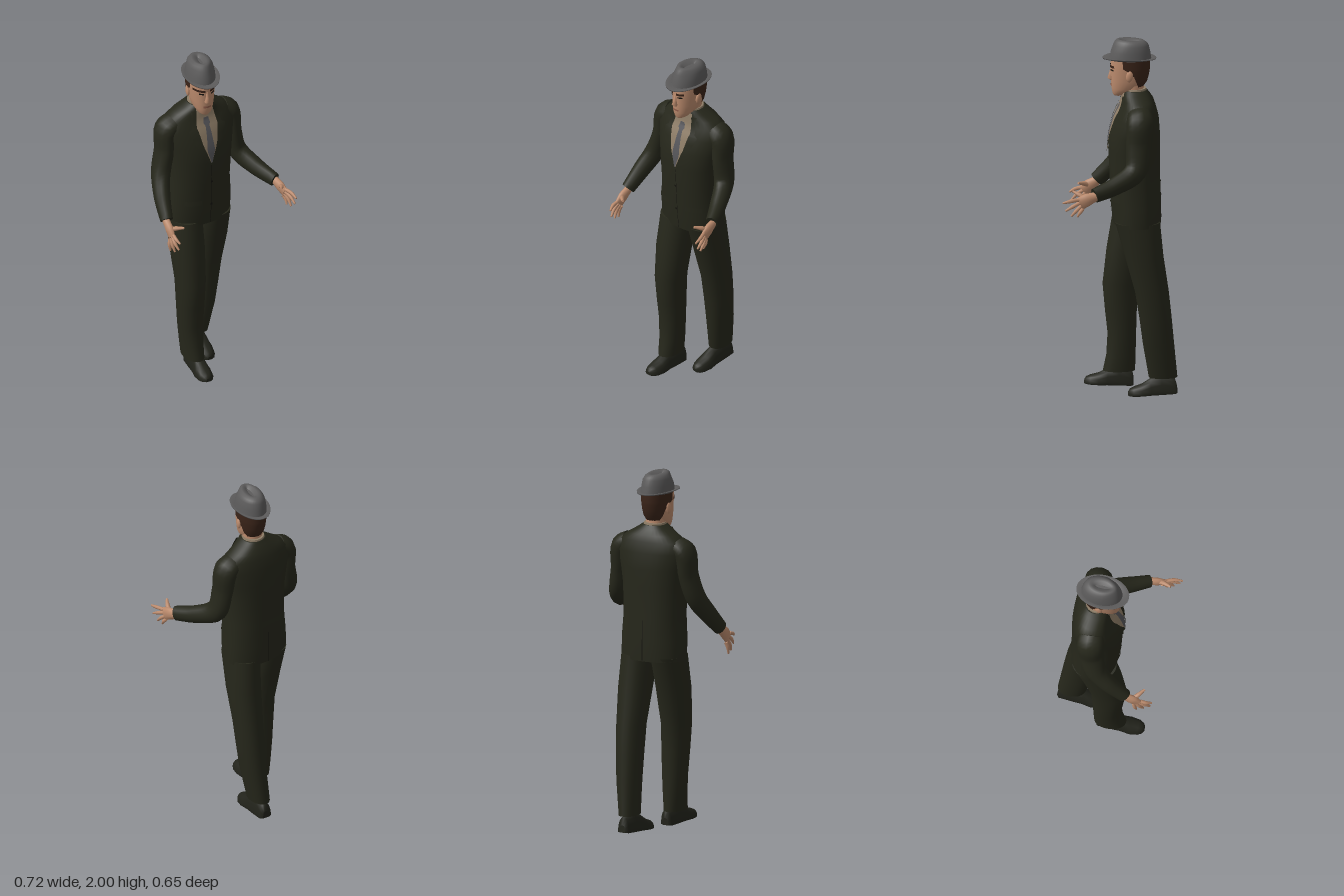
import * as THREE from 'three';

const mat = (name, color) => {
  const m = new THREE.MeshStandardMaterial({ color, side: THREE.DoubleSide });
  m.name = name;
  return m;
};
const V = (x, y, z) => new THREE.Vector3(x, y, z);
const TAU = Math.PI * 2;

// Skin a list of rings of points; closed rings wrap and get flat end caps
function skin(rings, closed = true) {
  const n = rings[0].length, pos = [], idx = [], span = closed ? n : n - 1;
  rings.forEach(r => r.forEach(p => pos.push(p.x, p.y, p.z)));
  for (let i = 0; i < rings.length - 1; i++) {
    for (let j = 0; j < span; j++) {
      const a = i * n + j, b = i * n + (j + 1) % n;
      idx.push(a, b, b + n, a, b + n, a + n);
    }
  }
  if (closed) [rings[0], rings[rings.length - 1]].forEach((r, end) => {
    const c = r.reduce((s, p) => s.add(p), V(0, 0, 0)).divideScalar(n);
    const o = pos.length / 3;
    [...r, c].forEach(p => pos.push(p.x, p.y, p.z));
    for (let j = 0; j < n; j++) {
      const k = o + (j + 1) % n;
      if (end) idx.push(o + n, o + j, k); else idx.push(o + n, k, o + j);
    }
  });
  const g = new THREE.BufferGeometry();
  g.setAttribute('position', new THREE.Float32BufferAttribute(pos, 3));
  g.setIndex(idx);
  g.computeVertexNormals();
  return g;
}

// Horizontal section [y, cx, cz, rx, rz] as a ring; e squares it off
const pw = (s, e) => Math.sign(s) * Math.abs(s) ** e;
function ring([y, cx, cz, rx, rz], e = 1, n = 28, from = 0, len = TAU) {
  const count = len === TAU ? n : n + 1;
  return Array.from({ length: count }, (_, j) => {
    const t = from + len * j / n;
    return V(cx + rx * pw(Math.sin(t), e), y, cz + rz * pw(Math.cos(t), e));
  });
}
const stack = (rows, e, n) => skin(rows.map(r => ring(r, e, n)));

// Section of a stack at any height
function sectionAt(rows, y) {
  let i = 0;
  while (i < rows.length - 2 && rows[i + 1][0] < y) i++;
  const t = THREE.MathUtils.clamp((y - rows[i][0]) / (rows[i + 1][0] - rows[i][0]), 0, 1);
  return rows[i].map((v, k) => k ? v + (rows[i + 1][k] - v) * t : y);
}

// Thin panel lying on the front (side 1) or back (side -1) of a stack; edge rows are [y, xLeft, xRight]
function panel(rows, edge, lift, e = 1, side = 1) {
  const rings = [];
  for (let i = 0; i < edge.length - 1; i++) for (let k = i ? 1 : 0; k <= 4; k++) {
    const [y, a, b] = edge[i].map((v, q) => v + (edge[i + 1][q] - v) * k / 4);
    const [, cx, cz, rx, rz] = sectionAt(rows, y);
    rings.push(Array.from({ length: 9 }, (_, j) => {
      const x = side > 0 ? a + (b - a) * j / 8 : b + (a - b) * j / 8;
      const u = Math.min(1, Math.abs((x - cx) / rx));
      return V(x, y, cz + side * (rz * (1 - u ** (2 / e)) ** (e / 2) + lift));
    }));
  }
  return skin(rings, false);
}

// Tapered limb along a smooth path; points are [x, y, z, r1, r2]
function limb(pts, n = 14, steps = 5) {
  const curve = new THREE.CatmullRomCurve3(pts.map(p => V(p[0], p[1], p[2])));
  const total = (pts.length - 1) * steps, rings = [];
  for (let i = 0; i <= total; i++) {
    const c = curve.getPoint(i / total), t = curve.getTangent(i / total);
    const k = Math.min(pts.length - 2, Math.floor(i / steps)), f = i / steps - k;
    const r = q => pts[k][q] + (pts[k + 1][q] - pts[k][q]) * f;
    const v = V(1, 0, 0).cross(t).normalize(), u = t.clone().cross(v);
    rings.push(Array.from({ length: n }, (_, j) => {
      const a = TAU * j / n;
      return c.clone().addScaledVector(u, r(3) * Math.sin(a)).addScaledVector(v, r(4) * Math.cos(a));
    }));
  }
  return skin(rings);
}

export function createModel() {
  const root = new THREE.Group();
  const suit = mat('suit cloth', 0x26271b), hatGrey = mat('hat felt', 0x5c5b5b);
  const skinTone = mat('skin', 0xbd8c6e), shirt = mat('shirt', 0x8d7c66);
  const tieGrey = mat('tie', 0x56565a), hair = mat('hair', 0x3a2419);
  const leather = mat('shoe leather', 0x22231b), dark = mat('dark trim', 0x14130e);
  const lips = mat('lips', 0x95614e);
  const add = (name, geo, m, parent = root) => {
    const mesh = new THREE.Mesh(geo, m);
    mesh.name = name;
    parent.add(mesh);
    return mesh;
  };

  // Jacket body
  const mid = -0.022, E = 0.88;
  const torso = [
    [0.97, mid, -0.105, 0.185, 0.13], [1.08, mid, -0.1, 0.185, 0.137],
    [1.22, mid, -0.095, 0.175, 0.137], [1.38, mid, -0.09, 0.182, 0.14],
    [1.48, mid, -0.095, 0.195, 0.135], [1.57, mid, -0.105, 0.212, 0.118],
    [1.63, mid, -0.112, 0.198, 0.095], [1.665, mid, -0.11, 0.145, 0.085],
    [1.695, mid, -0.1, 0.095, 0.075], [1.715, mid, -0.097, 0.066, 0.064]];
  add('jacket', stack(torso, E, 36), suit);
  add('shirtFront', panel(torso, [[1.38, -0.024, -0.02], [1.5, -0.066, 0.022],
    [1.6, -0.088, 0.044], [1.705, -0.07, 0.026]], 0.005, E), shirt);
  add('tie', panel(torso, [[1.385, -0.025, -0.019], [1.46, -0.045, 0.001], [1.6, -0.034, -0.01],
    [1.615, -0.042, -0.002], [1.645, -0.036, -0.008]], 0.009, E), tieGrey);
  const lapel = [[1.37, 0, 0.006], [1.5, 0.044, 0.082], [1.585, 0.06, 0.112],
    [1.6, 0.064, 0.092], [1.69, 0.05, 0.078]];
  for (const s of [1, -1]) {
    add('lapel', panel(torso, lapel.map(([y, a, b]) =>
      s > 0 ? [y, mid + a, mid + b] : [y, mid - b, mid - a]), 0.009, E), suit);
    const px = mid + s * 0.1;
    add('pocketFlap', panel(torso, [[1.11, px - 0.045, px + 0.045], [1.14, px - 0.045, px + 0.045]], 0.006, E), suit);
  }
  add('jacketOpening', panel(torso, [[0.975, -0.018, -0.015], [1.37, -0.023, -0.02]], 0.003, E), dark);
  for (const y of [1.1, 1.25])
    add('button', panel(torso, [[y, -0.026, -0.014], [y + 0.012, -0.026, -0.014]], 0.008, E), dark);
  add('backVent', panel(torso, [[0.975, -0.024, -0.019], [1.2, -0.023, -0.021]], 0.003, E, -1), dark);

  // Sleeves
  add('leftSleeve', limb([[0.12, 1.605, -0.11, 0.06, 0.07], [0.17, 1.575, -0.11, 0.062, 0.075],
    [0.188, 1.45, -0.1, 0.05, 0.07], [0.213, 1.315, -0.08, 0.052, 0.062],
    [0.265, 1.25, 0.03, 0.046, 0.05], [0.318, 1.212, 0.15, 0.034, 0.041]]), suit);
  add('rightSleeve', limb([[-0.165, 1.605, -0.11, 0.06, 0.07], [-0.214, 1.575, -0.11, 0.062, 0.075],
    [-0.233, 1.45, -0.1, 0.05, 0.07], [-0.268, 1.32, -0.075, 0.052, 0.062],
    [-0.302, 1.22, 0.0, 0.046, 0.052], [-0.325, 1.128, 0.09, 0.035, 0.042]]), suit);

  // Hands with fanned fingers
  function hand(name, palm, first, last, tips, thumb) {
    const g = new THREE.Group();
    g.name = name;
    root.add(g);
    const w = [[0.02, 0.024], [0.02, 0.036], [0.012, 0.036]];
    add('palm', limb(palm.map((p, i) => [...p, ...w[i]]), 10, 4), skinTone, g);
    const finger = (label, a, b, r) => {
      const m = V(...a).lerp(V(...b), 0.5);
      add(label, limb([[...a, r, r], [m.x + Math.sign(m.x) * 0.005, m.y + 0.003, m.z, r, r],
        [...b, r * 0.5, r * 0.5]], 7, 3), skinTone, g);
    };
    tips.forEach((tip, i) => finger('finger', V(...first).lerp(V(...last), i / 3).toArray(), tip, 0.0105));
    finger('thumb', palm[1], thumb, 0.013);
  }
  hand('leftHand', [[0.32, 1.21, 0.135], [0.328, 1.192, 0.19], [0.335, 1.172, 0.232]],
    [0.335, 1.195, 0.238], [0.333, 1.145, 0.215],
    [[0.352, 1.182, 0.327], [0.352, 1.138, 0.312], [0.346, 1.106, 0.28], [0.338, 1.1, 0.246]],
    [0.292, 1.232, 0.268]);
  hand('rightHand', [[-0.325, 1.125, 0.08], [-0.329, 1.092, 0.13], [-0.332, 1.06, 0.16]],
    [-0.332, 1.08, 0.18], [-0.332, 1.035, 0.14],
    [[-0.325, 1.058, 0.24], [-0.327, 1.012, 0.23], [-0.332, 0.982, 0.195], [-0.338, 0.97, 0.156]],
    [-0.275, 1.12, 0.195]);

  // Trousers in mid stride
  add('rightTrouser', stack([
    [0.11, -0.105, -0.014, 0.055, 0.088], [0.2, -0.107, -0.025, 0.061, 0.08],
    [0.32, -0.11, -0.03, 0.068, 0.078], [0.45, -0.112, -0.025, 0.074, 0.087],
    [0.6, -0.114, -0.022, 0.08, 0.097], [0.8, -0.115, -0.055, 0.092, 0.108],
    [0.99, -0.112, -0.1, 0.093, 0.122]], 0.95, 24), suit);
  add('leftTrouser', stack([
    [0.11, 0.053, -0.243, 0.052, 0.078], [0.3, 0.07, -0.217, 0.065, 0.085],
    [0.45, 0.075, -0.2, 0.073, 0.088], [0.6, 0.078, -0.18, 0.078, 0.092],
    [0.8, 0.076, -0.138, 0.09, 0.105], [0.99, 0.068, -0.103, 0.092, 0.122]], 0.95, 24), suit);

  // Shoes: arched sections from heel to toe, [z, half width, height]
  const shoeGeo = skin([[-0.13, 0.02, 0.04], [-0.12, 0.036, 0.085], [-0.05, 0.04, 0.11], [0.01, 0.041, 0.09],
    [0.06, 0.049, 0.06], [0.105, 0.043, 0.046], [0.128, 0.03, 0.036], [0.138, 0.012, 0.02]]
    .map(([z, w, h]) => Array.from({ length: 18 }, (_, j) => {
      const a = TAU * j / 18;
      return V(w * pw(Math.sin(a), 0.8), Math.max(0, -h * Math.cos(a)), z);
    })));
  const rightShoe = add('rightShoe', shoeGeo, leather);
  rightShoe.position.set(-0.097, 0.036, 0.038);
  rightShoe.rotation.set(-0.03, -0.1, 0);
  const leftShoe = add('leftShoe', shoeGeo, leather);
  leftShoe.position.set(0.043, 0.012, -0.192);
  leftShoe.rotation.set(0.07, -0.1, 0);

  // Neck and shirt collar
  add('neck', stack([[1.62, mid, -0.095, 0.055, 0.056], [1.78, mid, -0.085, 0.054, 0.055]], 1, 20), skinTone);
  add('shirtCollar', stack([[1.66, mid, -0.095, 0.075, 0.074], [1.725, mid, -0.096, 0.06, 0.06]], 1, 24), shirt);

  // Head, turned slightly to its right
  const head = new THREE.Group();
  head.name = 'head';
  head.position.set(-0.025, 0, -0.065);
  head.rotation.y = -0.13;
  root.add(head);
  const skull = [[1.682, 0, 0.062, 0.02, 0.022], [1.695, 0, 0.05, 0.038, 0.042],
    [1.725, 0, 0.018, 0.056, 0.08], [1.77, 0, 0.003, 0.066, 0.097],
    [1.82, 0, -0.002, 0.071, 0.102], [1.87, 0, -0.003, 0.074, 0.105], [1.92, 0, -0.003, 0.07, 0.098]];
  add('face', stack(skull, 0.95, 28), skinTone, head);
  add('nose', stack([[1.768, 0, 0.096, 0.013, 0.012], [1.778, 0, 0.1, 0.017, 0.02],
    [1.805, 0, 0.098, 0.01, 0.013], [1.84, 0, 0.094, 0.007, 0.008]], 1, 10), skinTone, head);
  add('mouth', panel(skull, [[1.737, -0.022, 0.022], [1.748, -0.022, 0.022]], 0.003, 0.95), lips, head);
  for (const s of [1, -1]) {
    const mirror = rows => rows.map(([y, a, b]) => s > 0 ? [y, a, b] : [y, -b, -a]);
    const wide = s < 0 ? 0.066 : 0.05;
    add('eyebrow', panel(skull, mirror([[1.842, 0.014, wide], [1.856, 0.012, wide]]), 0.005, 0.95), hair, head);
    add('eye', panel(skull, mirror([[1.825, 0.02, 0.044], [1.834, 0.02, 0.044]]), 0.004, 0.95), dark, head);
    const ear = add('ear', new THREE.SphereGeometry(1, 12, 10), skinTone, head);
    ear.scale.set(0.01, 0.032, 0.019);
    ear.position.set(s * 0.074, 1.805, -0.005);
    ear.rotation.x = -0.15;
  }
  // Hair wraps the back of the head, reaching further forward as it rises; rows are [y, half angle]
  add('hair', skin([[1.735, 0.75], [1.765, 1.1], [1.8, 1.3], [1.83, 1.6], [1.845, 1.85], [1.895, 1.9]].map(([y, s]) => {
    const [, cx, cz, rx, rz] = sectionAt(skull, y);
    return ring([y, cx, cz, rx + 0.005, rz + 0.006], 0.95, 20, Math.PI - s, 2 * s);
  }), false), hair, head);

  // Hat: brim curled up at the sides, then a crown with a creased top
  const brim = [[1.882, 0, 0, 0.074, 0.106], [1.89, 0, 0, 0.097, 0.146],
    [1.896, 0, 0, 0.098, 0.147], [1.893, 0, -0.003, 0.078, 0.114]];
  add('hatBrim', skin(brim.map(r => ring(r, 1, 32).map(p => {
    p.y += 0.9 * p.x * p.x;
    return p;
  }))), hatGrey, head);
  const crown = [[1.888, 0, -0.005, 0.079, 0.115], [1.93, 0, -0.006, 0.075, 0.108],
    [1.965, 0, -0.008, 0.068, 0.098], [1.985, 0, -0.008, 0.058, 0.088],
    [1.996, 0, -0.006, 0.044, 0.073], [1.994, 0, -0.004, 0.028, 0.055], [1.98, 0, -0.002, 0.008, 0.04]];
  add('hatCrown', skin(crown.map((r, i) => ring(r, 1, 32).map(p => {
    // pinch the front of the crown
    if (i > 1 && p.z > 0.02) p.x *= 1 - 2.6 * (p.z - 0.02);
    if (i > 2) p.y += 0.05 * p.z;
    return p;
  }))), hatGrey, head);
  return root;
}
